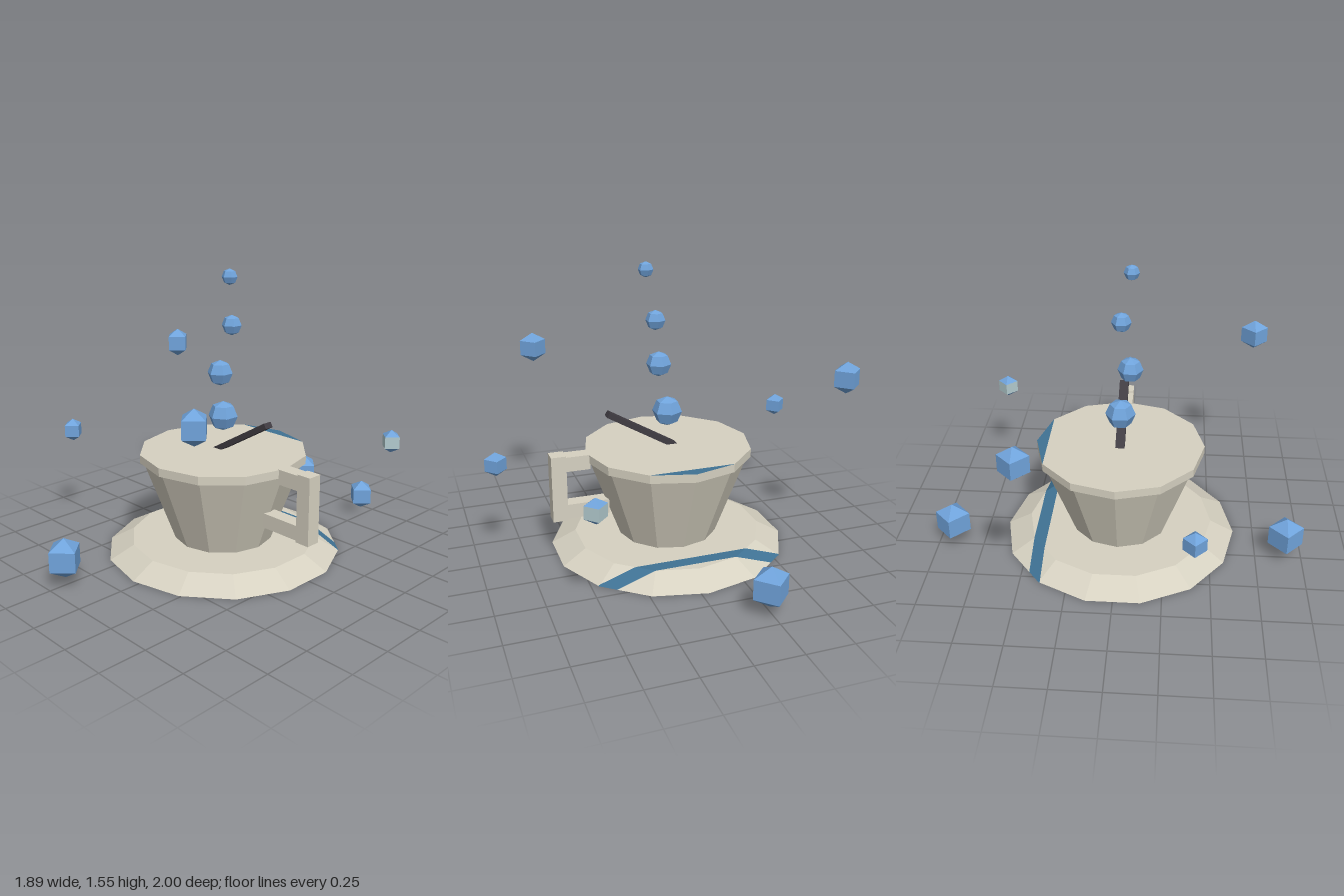
import * as THREE from 'three';

const flat = (name, color) => {
  const m = new THREE.MeshStandardMaterial({ color, flatShading: true });
  m.name = name;
  return m;
};

// Keeps the part of a polygon where sign * (z - limit) >= 0.
function clipZ(poly, limit, sign) {
  const out = [];
  poly.forEach((a, i) => {
    const b = poly[(i + 1) % poly.length];
    const da = sign * (a.z - limit), db = sign * (b.z - limit);
    if (da >= 0) out.push(a);
    if ((da >= 0) !== (db >= 0)) out.push(a.clone().lerp(b, da / (da - db)));
  });
  return out;
}

// Cuts a geometry along z into plain faces (group 0) and a stripe (group 1).
function stripeAcross(geometry, z0, z1, flatOnly) {
  const p = geometry.toNonIndexed().getAttribute('position');
  const sets = [[], []];
  const add = (poly, set) => {
    for (let k = 1; k < poly.length - 1; k++) {
      for (const v of [poly[0], poly[k], poly[k + 1]]) set.push(v.x, v.y, v.z);
    }
  };
  for (let i = 0; i < p.count; i += 3) {
    const tri = [0, 1, 2].map((k) => new THREE.Vector3().fromBufferAttribute(p, i + k));
    const level = Math.abs(tri[0].y - tri[1].y) + Math.abs(tri[0].y - tri[2].y) < 1e-5;
    if (flatOnly && !level) { add(tri, sets[0]); continue; }
    add(clipZ(tri, z0, -1), sets[0]);
    add(clipZ(tri, z1, 1), sets[0]);
    add(clipZ(clipZ(tri, z0, 1), z1, -1), sets[1]);
  }
  const g = new THREE.BufferGeometry();
  g.setAttribute('position', new THREE.Float32BufferAttribute(sets.flat(), 3));
  g.computeVertexNormals();
  g.addGroup(0, sets[0].length / 3, 0);
  g.addGroup(sets[0].length / 3, sets[1].length / 3, 1);
  return g;
}

export function createModel() {
  const cream = flat('cream ceramic', 0xd6d1c1);
  const stripe = flat('dark blue stripe', 0x3f7294);
  const blue = flat('light blue', 0x70a4dc);
  const pale = flat('pale blue grey', 0xb4ccd0);
  const dark = flat('dark metal', 0x403c42);

  const model = new THREE.Group();
  const add = (name, geometry, material, x, y, z, parent = model) => {
    const mesh = new THREE.Mesh(geometry, material);
    mesh.name = name;
    mesh.position.set(x, y, z);
    parent.add(mesh);
    return mesh;
  };
  const cx = -0.04;

  // Saucer and cup; the stripe runs across the saucer and the rim's flat faces
  const saucer = new THREE.CylinderGeometry(0.51, 0.64, 0.07, 14);
  add('saucer', stripeAcross(saucer, -0.46, -0.392, false), [cream, stripe], cx, 0.035, 0);
  add('cupBody', new THREE.CylinderGeometry(0.435, 0.27, 0.45, 12), cream, cx, 0.295, 0);
  const rim = new THREE.CylinderGeometry(0.455, 0.455, 0.045, 12);
  add('cupRim', stripeAcross(rim, -0.46, -0.392, true), [cream, stripe], cx, 0.5425, 0);

  // Square handle
  const handle = new THREE.Group();
  handle.name = 'handle';
  model.add(handle);
  add('handleGrip', new THREE.BoxGeometry(0.08, 0.365, 0.08), cream, 0.567, 0.3925, 0, handle);
  add('handleTop', new THREE.BoxGeometry(0.13, 0.08, 0.08), cream, 0.465, 0.528, 0, handle);
  add('handleBottom', new THREE.BoxGeometry(0.23, 0.08, 0.08), cream, 0.415, 0.26, 0, handle);

  // Spoon leaning out of the cup
  add('spoon', new THREE.BoxGeometry(0.48, 0.03, 0.05), dark, 0.083, 0.648, 0)
    .rotation.z = Math.PI / 6;

  // Rising steam puffs
  [
    [-0.04, 0.75, 0, 0.081],
    [-0.01, 1.0, 0.05, 0.068],
    [0.025, 1.25, 0, 0.053],
    [0.06, 1.505, 0.05, 0.041],
  ].forEach(([x, y, z, r], i) => {
    add('steamPuff' + (i + 1), new THREE.SphereGeometry(r, 6, 4), blue, x, y, z)
      .rotation.y = Math.PI / 6;
  });

  // Floating crystals around the cup; one has a pale middle band
  [
    [-0.24, 0.15, -0.91, 0.107],
    [-0.25, 0.15, 0.905, 0.107],
    [-0.875, 0.97, -0.412, 0.085],
    [-0.88, 0.57, 0.395, 0.065],
    [0.535, 0.97, 0.728, 0.085],
    [0.885, 0.565, 0, 0.065],
    [0.548, 0.578, -0.72, 0.065, true],
  ].forEach(([x, y, z, r, banded], i) => {
    const g = new THREE.SphereGeometry(r, 4, 3);
    if (banded) {
      g.addGroup(0, 12, 0);
      g.addGroup(12, 24, 1);
      g.addGroup(36, 12, 0);
    }
    add('crystal' + (i + 1), g, banded ? [blue, pale] : blue, x, y, z);
  });

  return model;
}
